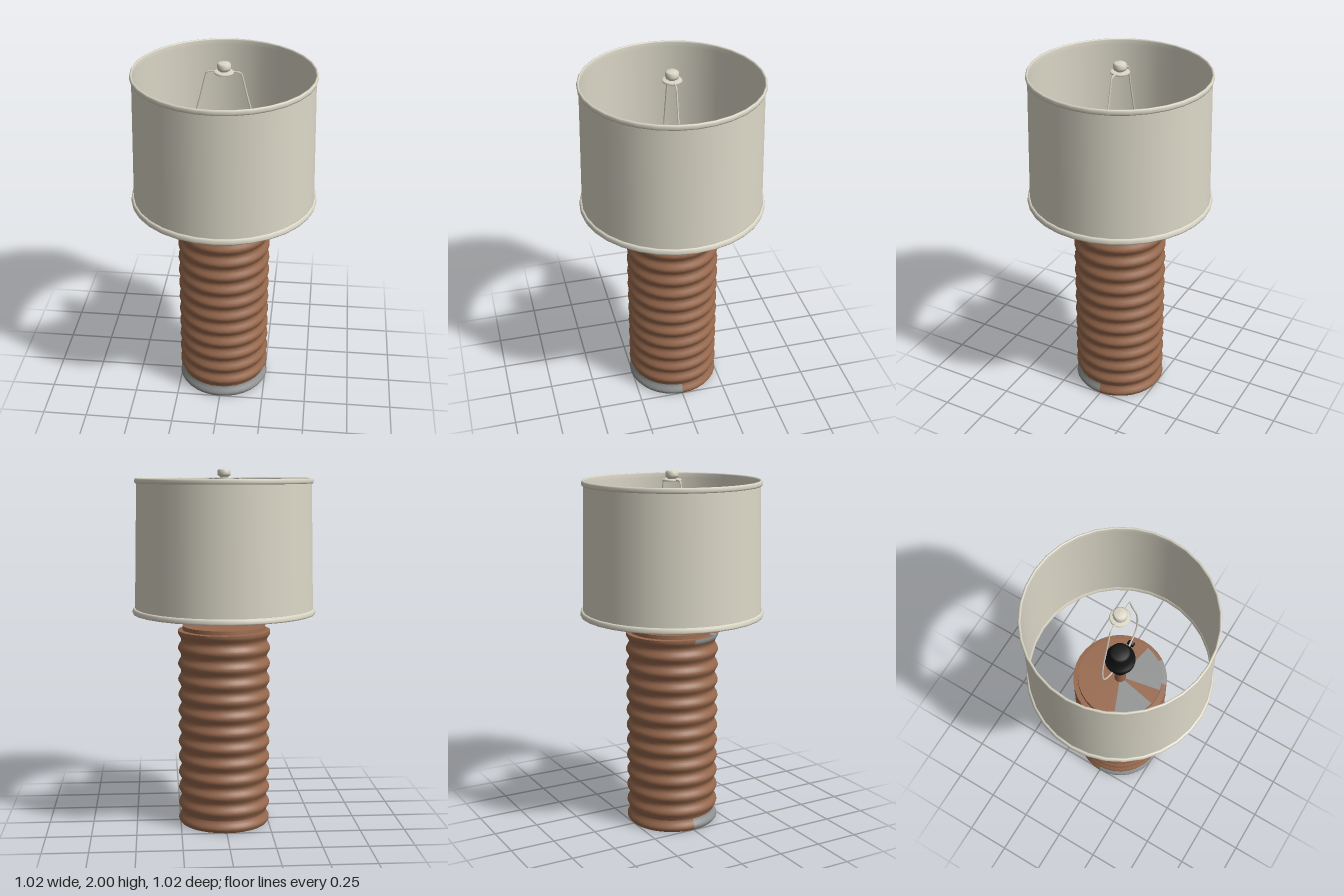
import * as THREE from 'three';

const SEG = 32;
const STEP = (Math.PI * 2) / SEG;

export function createModel() {
  const lamp = new THREE.Group();
  lamp.name = 'tableLamp';

  const paint = (name, color) => {
    const m = new THREE.MeshStandardMaterial({ color, side: THREE.DoubleSide });
    m.name = name;
    return m;
  };
  const brown = paint('brown ceramic', 0x98694d);
  const grey = paint('worn grey', 0x929393);
  const cream = paint('cream fabric', 0xdcd8c8);
  const black = paint('black socket', 0x121212);

  const add = (name, geometry, material, parent = lamp) => {
    const mesh = new THREE.Mesh(geometry, material);
    mesh.name = name;
    parent.add(mesh);
    return mesh;
  };

  // Lathe sector from segment a to segment b (0 faces +z, 8 faces +x)
  const turn = (name, profile, material, a = 0, b = SEG) => {
    const points = profile.map(([r, y]) => new THREE.Vector2(r, y));
    return add(name, new THREE.LatheGeometry(points, b - a, a * STEP, (b - a) * STEP), material);
  };

  // Full ring, grey in the listed sectors and brown between them
  const patched = (name, profile, greySectors) => {
    let at = greySectors[0][0];
    const end = at + SEG;
    for (const [a, b] of greySectors) {
      if (a > at) turn(name, profile, brown, at, a);
      turn(name + 'Worn', profile, grey, a, b);
      at = b;
    }
    turn(name, profile, brown, at, end);
  };

  // Ribbed column
  const ribRadius = (y) => 0.251 + 0.009 * Math.cos((Math.PI * 2 * (y - 0.02)) / 0.09);
  const ribs = (y0, y1, n) => Array.from({ length: n + 1 }, (_, i) => {
    const y = y0 + ((y1 - y0) * i) / n;
    return [ribRadius(y), y];
  });
  turn('ribbedBody', ribs(0.065, 1.082, 90), brown);
  patched('bottomBand', [[0.25, 0], [0.26, 0.015], ...ribs(0.025, 0.065, 4)], [[-8, 8]]);
  patched('topBand', [...ribs(1.082, 1.1, 3), [0.26, 1.11]], [[-8, 8]]);
  turn('bodyBottom', [[0, 0], [0.25, 0]], brown);

  // Stepped lid with worn patches
  patched('lidLedge', [[0.26, 1.11], [0.234, 1.112]], [[-5, -4], [2, 5]]);
  patched('lidSide', [[0.234, 1.112], [0.232, 1.134]], [[-5, -4], [2, 5]]);
  patched('lidTop', [[0.232, 1.134], [0, 1.136]], [[-6, -1], [1, 7]]);

  // Stem and lamp socket
  turn('stem', [[0.032, 1.13], [0.032, 1.28]], brown);
  turn('socket', [[0, 1.275], [0.045, 1.275], [0.048, 1.34], [0.06, 1.35], [0.08, 1.38],
    [0.082, 1.4], [0.08, 1.42], [0.056, 1.43], [0.055, 1.49], [0.045, 1.5], [0, 1.5]], black);
  const key = add('switchStem', new THREE.CylinderGeometry(0.01, 0.01, 0.06, 12), black);
  key.rotation.z = Math.PI / 2;
  key.position.set(0.095, 1.38, 0);
  const knob = add('switchKnob', new THREE.CylinderGeometry(0.02, 0.02, 0.02, 12), black);
  knob.rotation.z = Math.PI / 2;
  knob.position.set(0.113, 1.38, 0);

  // Wire harp, mirrored left and right
  for (const s of [1, -1]) {
    const path = new THREE.CatmullRomCurve3([
      [0.03, 1.378], [0.09, 1.39], [0.15, 1.445], [0.174, 1.53], [0.166, 1.65],
      [0.125, 1.81], [0.098, 1.92], [0.09, 1.946], [0.07, 1.95], [0.02, 1.95],
    ].map(([x, y]) => new THREE.Vector3(s * x, y, 0)));
    add(s > 0 ? 'harpLeft' : 'harpRight', new THREE.TubeGeometry(path, 48, 0.0045, 8), cream);
  }

  // Finial on its washer
  turn('washer', [[0, 1.943], [0.05, 1.943], [0.053, 1.948], [0.048, 1.954], [0, 1.954]], cream);
  turn('finial', [[0.022, 1.95], [0.024, 1.96], [0.034, 1.963], [0.036, 1.975],
    [0.035, 1.992], [0.028, 1.999], [0, 2]], cream);

  // Drum shade with rolled rims
  turn('shade', [[0.497, 1.225], [0.481, 1.935]], cream);
  turn('shadeTopRim', [[0.478, 1.922], [0.488, 1.922], [0.491, 1.93], [0.491, 1.943],
    [0.487, 1.95], [0.48, 1.95], [0.478, 1.943], [0.478, 1.922]], cream);
  turn('shadeBottomRim', [[0.492, 1.208], [0.509, 1.208], [0.511, 1.215], [0.509, 1.23],
    [0.503, 1.238], [0.492, 1.238], [0.492, 1.208]], cream);

  return lamp;
}
